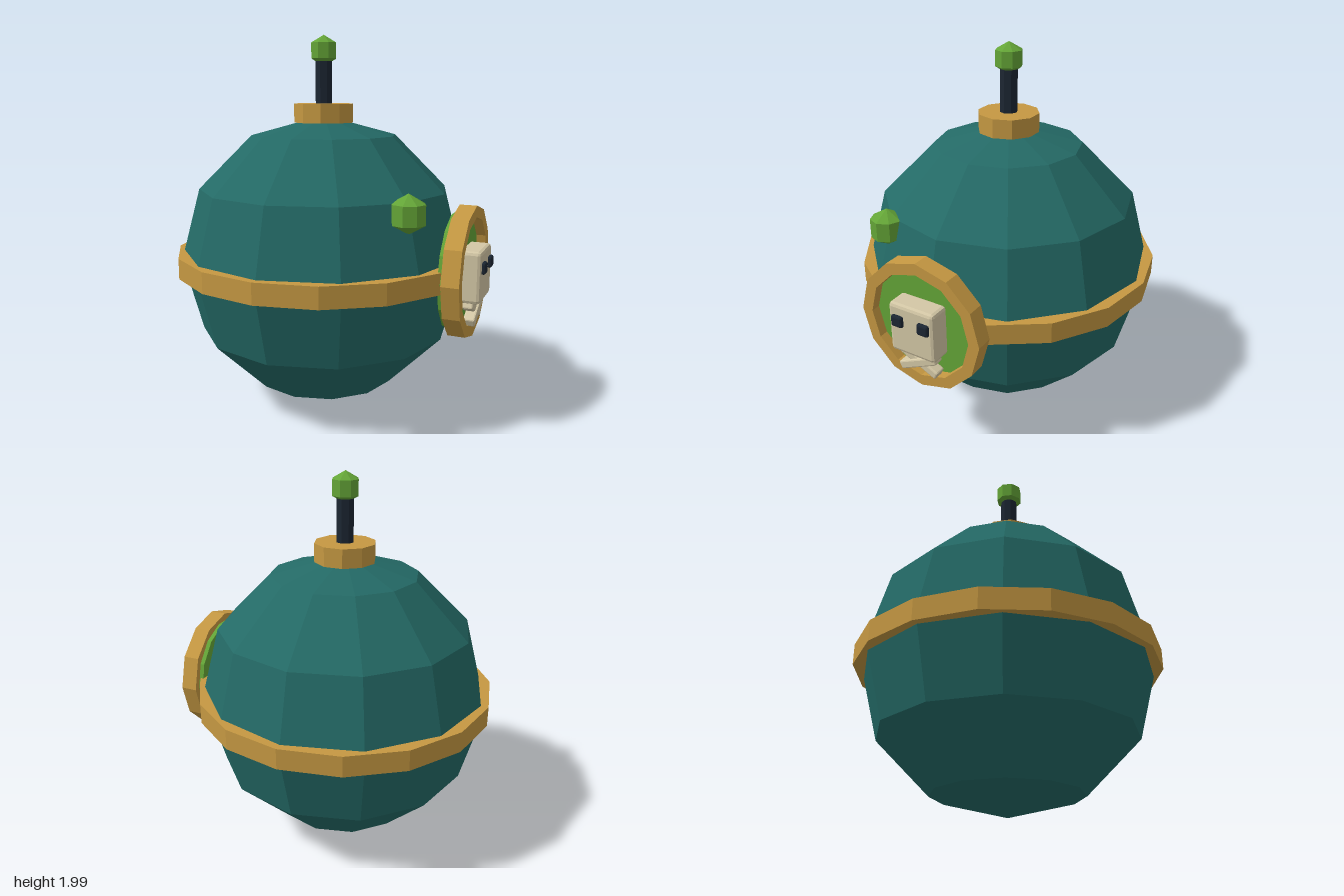
import * as THREE from 'three';
import { RoundedBoxGeometry } from 'three/addons/geometries/RoundedBoxGeometry.js';

const paint = (name, color) =>
  new THREE.MeshStandardMaterial({ name, color, flatShading: true });

export function createModel() {
  const teal = paint('teal', 0x246a66);
  const gold = paint('gold', 0xc59842);
  const green = paint('green', 0x64a537);
  const dark = paint('dark', 0x1c2632);
  const bone = paint('bone', 0xd3c7a5);

  const model = new THREE.Group();
  model.name = 'roundBomb';
  const cx = -0.06, cy = 0.793;

  const add = (name, geometry, material, x, y, z = 0) => {
    const mesh = new THREE.Mesh(geometry, material);
    mesh.name = name;
    mesh.position.set(x, y, z);
    model.add(mesh);
    return mesh;
  };
  const drum = (r, h, sides) => new THREE.CylinderGeometry(r, r, h, sides);

  // Faceted body with its waist band
  add('body', new THREE.SphereGeometry(0.785, 12, 6), teal, cx, cy);
  add('waistBand', drum(0.81, 0.11, 16), gold, cx, 0.795);

  // Neck collar, fuse stem and knob
  add('collar', drum(0.163, 0.1, 10), gold, cx, 1.59).rotation.y = Math.PI / 2;
  add('stem', drum(0.047, 0.28, 8), dark, cx, 1.74);
  add('knob', new THREE.SphereGeometry(0.082, 8, 3), green, cx, 1.918);

  // Stud on the upper side of the body
  add('stud', new THREE.SphereGeometry(0.1, 8, 3), green, 0.54, 1.135, 0.36);

  // Round side plaque: green disc inside a square-sectioned ring
  add('plaqueDisc', drum(0.31, 0.065, 14), green, 0.708, cy).rotation.z = -Math.PI / 2;
  const section = [[0.285, -0.045], [0.345, -0.045], [0.345, 0.045], [0.285, 0.045], [0.285, -0.045]]
    .map(([r, h]) => new THREE.Vector2(r, h));
  add('plaqueRing', new THREE.LatheGeometry(section, 12), gold, 0.745, cy).rotation.z = -Math.PI / 2;

  // Skull emblem with eyes and crossed bones
  add('skull', new RoundedBoxGeometry(0.12, 0.27, 0.26, 1, 0.018), bone, 0.787, 0.79);
  for (const side of [-1, 1]) {
    add('eye', new RoundedBoxGeometry(0.04, 0.06, 0.064, 1, 0.01), dark, 0.845, 0.838, side * 0.075);
    const crossbone = add('crossbone', new RoundedBoxGeometry(0.06, 0.045, 0.23, 1, 0.008),
      bone, 0.785 + side * 0.006, 0.597);
    crossbone.rotation.x = side * 0.44;
  }

  return model;
}
